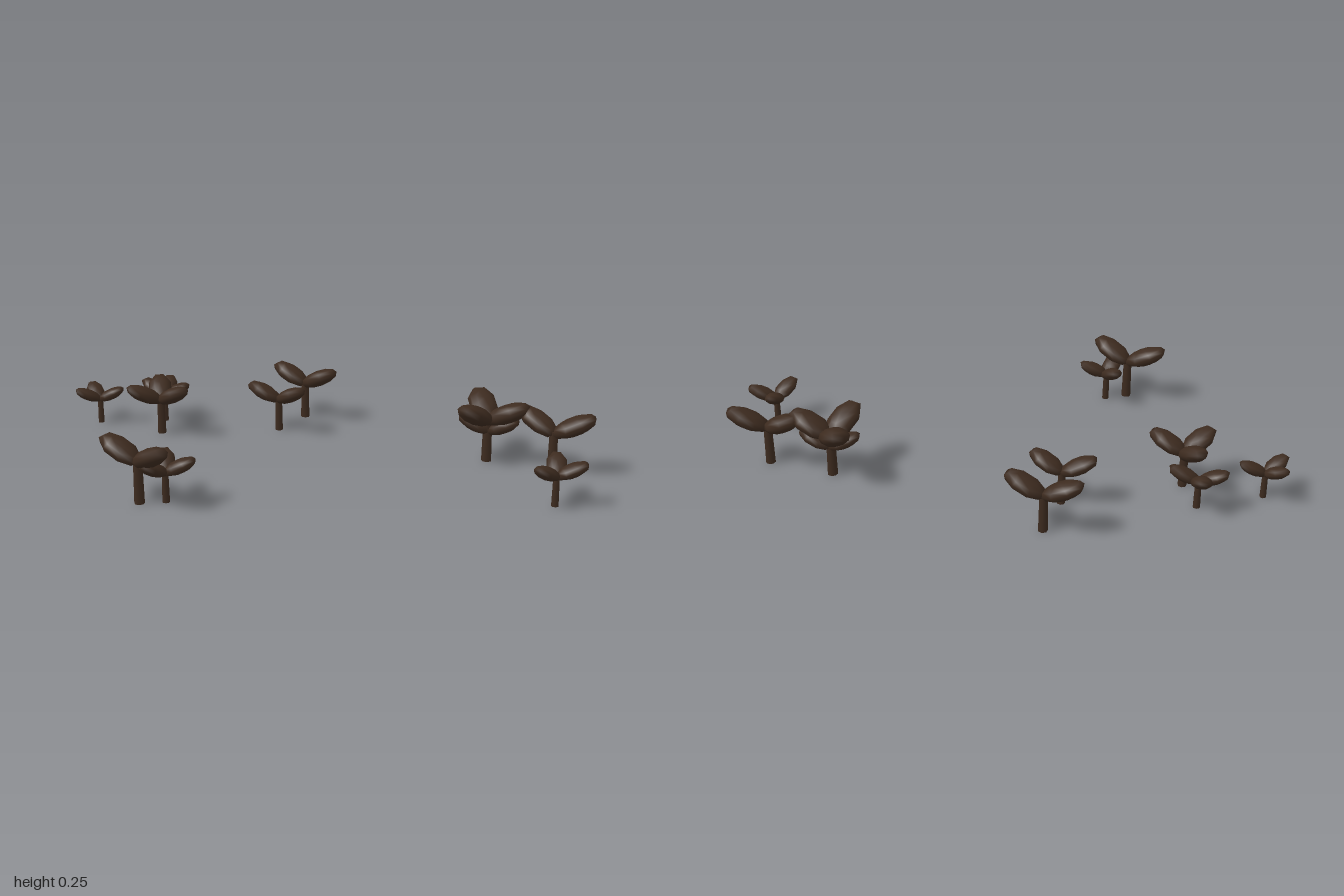
import * as THREE from 'three';

const bark = new THREE.MeshStandardMaterial({ color: 0x3d2b1f });

// one sprout: x, z, scale, leaf directions in degrees (0 = +x, 90 = +z)
const SPROUTS = [
  [-0.90, -0.53, 0.60, [-114, 165, 10]],
  [-0.63, -0.53, 0.66, [-76, -143, 22]],
  [-0.64, -0.37, 0.83, [-93, 162, 42]],
  [-0.70, 0.393, 0.93, [-145, 51]],
  [-0.605, 0.39, 0.67, [-92, 12, 135]],
  [-0.033, -0.527, 0.87, [36, -145]],
  [-0.155, -0.365, 0.77, [-160, 44]],
  [0.63, 0.075, 0.98, [-93, 140, 36]],
  [0.635, 0.075, 0.71, [-160, 32]],
  [0.85, 0.23, 0.92, [16, -132]],
  [0.778, 0.553, 0.66, [-77, 145, 12]],
];

// a squashed low-poly ball, long along +x, tipped up and moved out from the stem
const leafGeometry = new THREE.SphereGeometry(1, 8, 6)
  .rotateY(Math.PI / 8)
  .scale(0.1, 0.038, 0.06)
  .rotateZ(0.44)
  .translate(0.081, 0.208, 0);

const stemGeometry = new THREE.CylinderGeometry(0.018, 0.021, 0.18, 7).translate(0, 0.09, 0);

function makeSprout([x, z, scale, directions]) {
  const sprout = new THREE.Group();
  sprout.name = 'sprout';
  const stem = new THREE.Mesh(stemGeometry, bark);
  stem.name = 'stem';
  sprout.add(stem);
  for (const degrees of directions) {
    const leaf = new THREE.Mesh(leafGeometry, bark);
    leaf.name = 'leaf';
    leaf.rotation.y = -THREE.MathUtils.degToRad(degrees);
    sprout.add(leaf);
  }
  sprout.position.set(x, 0, z);
  sprout.scale.setScalar(scale);
  return sprout;
}

export function createModel() {
  const model = new THREE.Group();
  model.name = 'sproutPatch';
  SPROUTS.forEach((s) => model.add(makeSprout(s)));
  return model;
}
